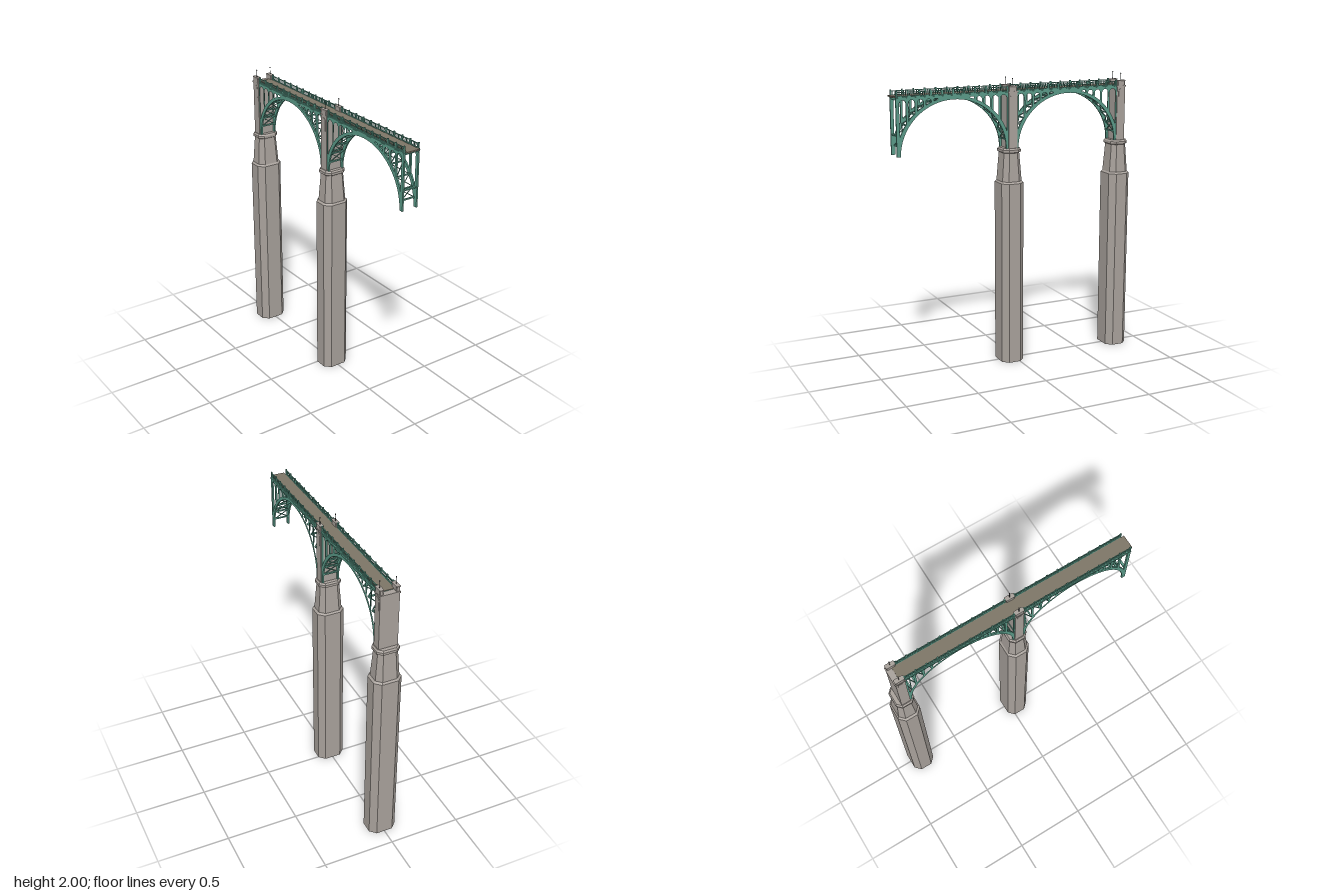
import * as THREE from 'three';
import { mergeGeometries } from 'three/addons/utils/BufferGeometryUtils.js';

const mat = (color, side = THREE.FrontSide) => {
  const m = new THREE.MeshStandardMaterial({ color, side });
  m.flatShading = true;
  return m;
};
const STONE = mat(0xa8a19b, THREE.DoubleSide);
const GREEN = mat(0x5a9a88);
const ROAD = mat(0x7d7566);
const DARK = mat(0x3c403e);

const PIERS = [-0.803, 0.039];
const SPANS = [-0.38, 0.462];
const SPRING = 1.525, ROAD_Y = 1.912, RIB_Z = 0.055;

function add(parent, name, geometry, material) {
  const mesh = new THREE.Mesh(geometry, material);
  mesh.name = name;
  parent.add(mesh);
  return mesh;
}

function box(w, h, d, x, y, z) {
  return new THREE.BoxGeometry(w, h, d).translate(x, y, z);
}

// Square bar between two points
function bar(a, b, t) {
  const d = b.clone().sub(a);
  const q = new THREE.Quaternion().setFromUnitVectors(new THREE.Vector3(0, 0, 1), d.clone().normalize());
  const mid = a.clone().add(b).multiplyScalar(0.5);
  return new THREE.BoxGeometry(t, t, d.length()).applyQuaternion(q).translate(mid.x, mid.y, mid.z);
}

// Chamfered rectangular sections [y, halfX, halfZ, chamfer] joined into a shaft, open below
function loft(sections) {
  const pos = [], idx = [];
  for (const [y, hx, hz, c] of sections) {
    const ring = [[hx, c - hz], [hx, hz - c], [hx - c, hz], [c - hx, hz],
      [-hx, hz - c], [-hx, c - hz], [c - hx, -hz], [hx - c, -hz]];
    for (const [x, z] of ring) pos.push(x, y, z);
  }
  for (let s = 0; s < sections.length - 1; s++) {
    for (let i = 0; i < 8; i++) {
      const a = s * 8 + i, b = s * 8 + (i + 1) % 8;
      idx.push(a, a + 8, b, b, a + 8, b + 8);
    }
  }
  const top = (sections.length - 1) * 8;
  for (let i = 1; i < 7; i++) idx.push(top, top + i + 1, top + i);
  const g = new THREE.BufferGeometry();
  g.setAttribute('position', new THREE.Float32BufferAttribute(pos, 3));
  g.setIndex(idx);
  g.computeVertexNormals();
  return g;
}

// Pier shaft, tower, pedestals and lamps
function makePier(x) {
  const pier = new THREE.Group();
  pier.name = 'pier';
  pier.position.x = x;
  add(pier, 'pierShaft', loft([
    [0, 0.082, 0.098, 0.04], [1.285, 0.082, 0.098, 0.04], [1.297, 0.072, 0.084, 0.034],
    [1.492, 0.057, 0.07, 0.027], [1.498, 0.066, 0.08, 0.031], [1.515, 0.066, 0.08, 0.031],
    [1.526, 0.058, 0.071, 0.028],
  ]), STONE);
  add(pier, 'tower', box(0.064, 0.385, 0.132, 0, 1.7125, 0), STONE);
  add(pier, 'towerCap', box(0.074, 0.01, 0.14, 0, 1.907, 0), STONE);
  for (const s of [-1, 1]) {
    // Arched face panel
    const p = new THREE.Shape();
    p.moveTo(-0.02, 1.8);
    p.lineTo(0.02, 1.8);
    p.lineTo(0.02, 1.87);
    p.absarc(0, 1.87, 0.02, 0, Math.PI, false);
    const panel = new THREE.ExtrudeGeometry(p, { depth: 0.002, bevelEnabled: false, curveSegments: 8 });
    panel.translate(0, 0, s > 0 ? 0.066 : -0.068);
    add(pier, 'towerPanel', panel, STONE);
    add(pier, 'pedestal', loft([[1.91, 0.03, 0.013, 0.004], [1.938, 0.03, 0.013, 0.004],
      [1.941, 0.033, 0.015, 0.004], [1.948, 0.033, 0.015, 0.004]]).translate(0, 0, s * RIB_Z), STONE);
    add(pier, 'lampPost', new THREE.CylinderGeometry(0.0015, 0.0025, 0.048, 6).translate(0, 1.97, s * RIB_Z), DARK);
    add(pier, 'lamp', new THREE.SphereGeometry(0.0045, 8, 6).translate(0, 1.9955, s * RIB_Z), DARK);
  }
  return pier;
}

// Arch curves, relative to the middle of a span
const innerY = (x) => SPRING + 0.355 * Math.sqrt(Math.max(0, 1 - (x / 0.376) ** 2));
const outerY = (x) => SPRING + 0.375 * Math.sqrt(Math.max(0, 1 - (x / 0.402) ** 2));
const HOLES = [[0.333, 0.38], [0.272, 0.318], [0.213, 0.256], [0.158, 0.197], [0.112, 0.142]];

// One face of a span: arch rib, columns and round-headed openings
function makeRibGeometry() {
  const shape = new THREE.Shape();
  shape.moveTo(-0.402, SPRING);
  shape.lineTo(-0.402, ROAD_Y - 0.005);
  shape.lineTo(0.402, ROAD_Y - 0.005);
  shape.lineTo(0.402, SPRING);
  shape.lineTo(0.376, SPRING);
  for (let i = 1; i <= 48; i++) {
    const x = 0.376 * Math.cos((i / 48) * Math.PI);
    shape.lineTo(x, innerY(x));
  }
  for (const side of [-1, 1]) {
    for (const [x0, x1] of HOLES) {
      const hole = new THREE.Path(), r = (x1 - x0) / 2, mid = (x0 + x1) / 2;
      const rise = Math.min(r, 0.892 - outerY(x0) + 0.996);
      hole.moveTo(side * x0, outerY(x0));
      for (let i = 1; i <= 5; i++) {
        const x = x0 + (x1 - x0) * i / 5;
        hole.lineTo(side * x, outerY(x));
      }
      for (let i = 0; i <= 8; i++) {
        const a = (i / 8) * Math.PI;
        hole.lineTo(side * (mid + r * Math.cos(a)), 1.892 - rise + rise * Math.sin(a));
      }
      shape.holes.push(hole);
    }
  }
  return new THREE.ExtrudeGeometry(shape, { depth: 0.011, bevelEnabled: false }).translate(0, 0, -0.0055);
}

// Two ribs with cross struts and lattice bracing
function makeSpan(x) {
  const span = new THREE.Group();
  span.name = 'archSpan';
  span.position.x = x;
  const rib = makeRibGeometry();
  for (const s of [-1, 1]) {
    add(span, 'archRib', rib, GREEN).position.z = s * RIB_Z;
    // Raised moulding along the deck edge
    add(span, 'deckMoulding', box(0.804, 0.007, 0.006, 0, 1.904, s * 0.061), GREEN);
  }
  const V = (px, py, pz) => new THREE.Vector3(px, py, pz);
  const braces = [];
  const nodes = [0.378, 0.362, 0.325, 0.265, 0.205, 0.148, 0.08, 0];
  const mid = (px) => (innerY(px) + outerY(px)) / 2;
  for (const s of [-1, 1]) {
    nodes.forEach((n, i) => {
      braces.push(box(0.009, 0.009, 0.1, s * n, mid(n), 0));
      if (i === nodes.length - 1) return;
      const m = nodes[i + 1];
      for (const z of [-0.05, 0.05]) braces.push(bar(V(s * n, mid(n), z), V(s * m, mid(m), -z), 0.005));
    });
    // Strut between the end columns
    braces.push(box(0.016, 0.008, 0.1, s * 0.39, 1.66, 0));
    for (let i = 0; i < 7; i++) braces.push(box(0.007, 0.014, 0.1, s * (0.03 + i * 0.06), 1.897, 0));
  }
  add(span, 'crossBracing', mergeGeometries(braces), GREEN);
  return span;
}

// Railing between two x positions
function makeRailing(x0, x1, z) {
  const parts = [], len = x1 - x0, mid = (x0 + x1) / 2;
  parts.push(box(len, 0.005, 0.006, mid, 1.942, z), box(len, 0.004, 0.006, mid, 1.917, z));
  const n = Math.round(len / 0.0128);
  for (let i = 0; i <= n; i++) parts.push(box(0.004, 0.028, 0.003, x0 + len * i / n, 1.929, z));
  const posts = Math.round(len / 0.077);
  for (let i = 0; i <= posts; i++) parts.push(box(0.009, 0.042, 0.009, x0 + len * i / posts, 1.931, z));
  return mergeGeometries(parts);
}

export function createModel() {
  const model = new THREE.Group();
  model.name = 'archBridge';
  PIERS.forEach((x) => model.add(makePier(x)));
  SPANS.forEach((x) => model.add(makeSpan(x)));

  // Road deck with a wider kerb under the railings
  add(model, 'roadDeck', box(1.68, 0.009, 0.094, 0.04, 1.9125, 0), ROAD);
  add(model, 'deckKerb', box(1.66, 0.006, 0.128, 0.03, 1.911, 0), GREEN);

  for (const s of [-1, 1]) {
    add(model, 'railing', makeRailing(-0.766, 0.002, s * RIB_Z), GREEN);
    add(model, 'railing', makeRailing(0.076, 0.858, s * RIB_Z), GREEN);
  }
  return model;
}
